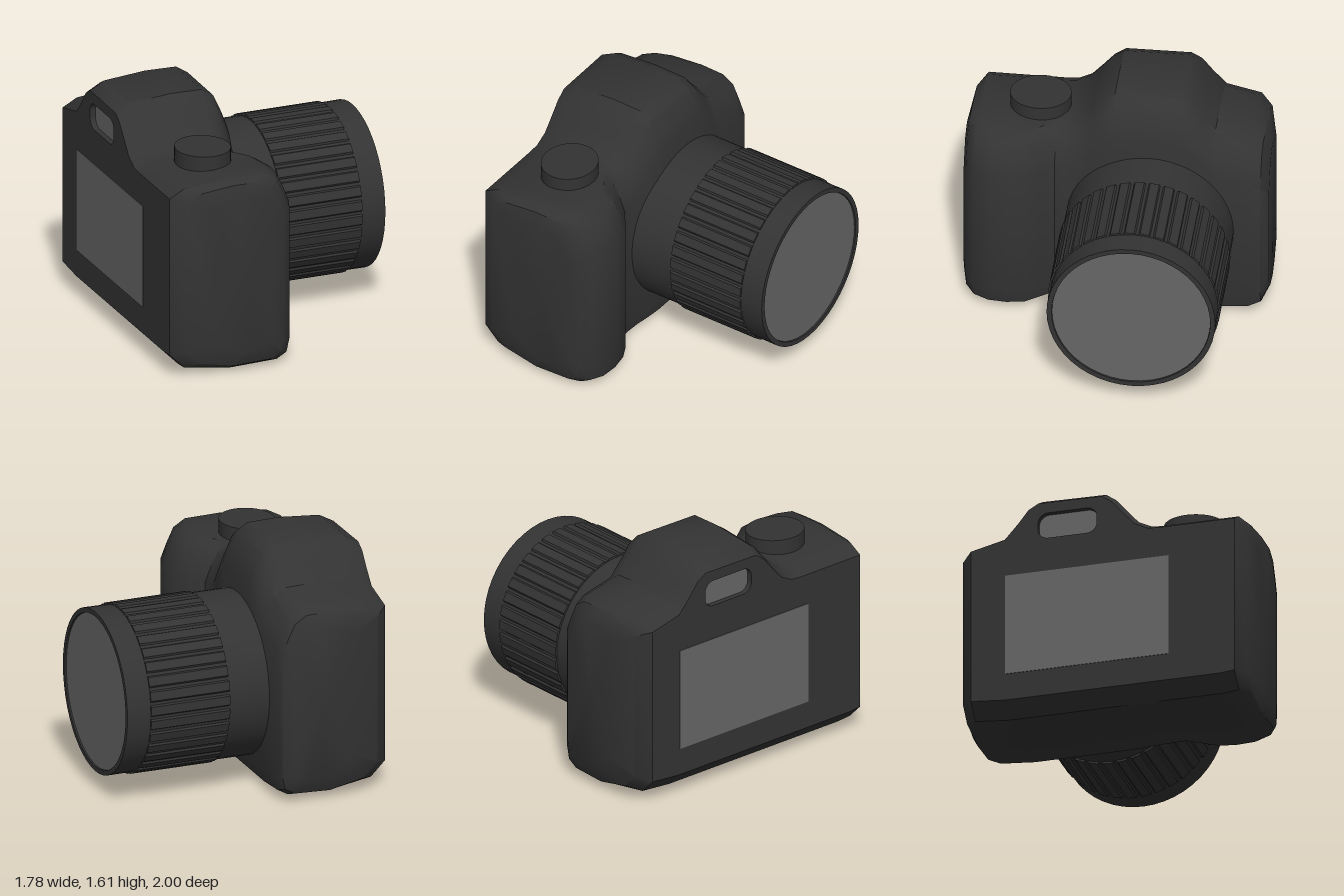
import * as THREE from 'three';
import { toCreasedNormals } from 'three/addons/utils/BufferGeometryUtils.js';

const BLACK = new THREE.MeshStandardMaterial({ color: 0x333333 });
const GLASS = new THREE.MeshStandardMaterial({ color: 0x666666 });
const BACK = -0.885;

// Body stations along z: [z, front x, top y, back x, bottom y]
const STATIONS = [
  [-1, -0.19, 1.2, -0.6, 0.14],
  [-0.95, -0.13, 1.29, -0.8, 0.05],
  [-0.87, -0.11, 1.325, BACK, 0.02],
  [-0.64, -0.11, 1.38, BACK, 0],
  [-0.55, -0.11, 1.48, BACK, 0],
  [-0.48, -0.11, 1.57, BACK, 0],
  [-0.41, -0.11, 1.61, BACK, 0],
  [0.02, -0.11, 1.605, BACK, 0],
  [0.09, -0.115, 1.555, BACK, 0],
  [0.17, -0.125, 1.46, BACK, 0],
  [0.24, -0.135, 1.38, BACK, 0],
  [0.33, -0.14, 1.335, BACK, 0],
  [0.4, -0.14, 1.33, BACK, 0],
  [0.49, -0.075, 1.33, BACK, 0],
  [0.58, -0.01, 1.33, BACK, 0],
  [0.7, 0.01, 1.33, BACK, 0],
  [0.82, 0, 1.33, BACK, 0],
  [0.92, -0.04, 1.33, BACK, 0.01],
  [0.975, -0.1, 1.3, -0.79, 0.04],
  [1, -0.18, 1.22, -0.6, 0.13],
];

// Rounded cross-section, counter-clockwise from the lower back corner
function section([, f, t, k, b]) {
  const mid = k + (f - k) * 0.5;
  return [
    [k, b + 0.15], [k + 0.1, b + 0.05], [mid, b], [f - 0.09, b + 0.01],
    [f - 0.02, b + 0.05], [f, b + 0.14], [f, t - 0.26], [f - 0.04, t - 0.16],
    [f - 0.09, t - 0.055], [f - 0.17, t - 0.005], [mid, t], [k + 0.1, t - 0.025], [k, t - 0.08],
  ];
}

// Shell lofted through the stations, left open where the flat back panel sits
function bodyGeometry() {
  const pos = [], idx = [];
  const rings = STATIONS.map(section), n = rings[0].length, last = rings.length - 1;
  rings.forEach((r, i) => r.forEach(([x, y]) => pos.push(x, y, STATIONS[i][0])));
  for (let i = 0; i < last; i++) {
    const flat = STATIONS[i][3] === BACK && STATIONS[i + 1][3] === BACK;
    for (let j = 0; j < (flat ? n - 1 : n); j++) {
      const a = i * n + j, b = i * n + (j + 1) % n;
      idx.push(a, b, b + n, a, b + n, a + n);
    }
  }
  // End caps as fans
  for (const i of [0, last]) {
    const c = pos.length / 3;
    pos.push(-0.4, 0.68, STATIONS[i][0]);
    for (let j = 0; j < n; j++) {
      const a = i * n + j, b = i * n + (j + 1) % n;
      if (i) idx.push(c, a, b); else idx.push(c, b, a);
    }
  }
  const g = new THREE.BufferGeometry();
  g.setAttribute('position', new THREE.Float32BufferAttribute(pos, 3));
  g.setIndex(idx);
  return toCreasedNormals(g, 0.6);
}

function roundedRect(cx, cy, w, h, r, path = new THREE.Shape()) {
  const x = w / 2 - r, y = h / 2 - r;
  path.absarc(cx + x, cy + y, r, 0, Math.PI / 2);
  path.absarc(cx - x, cy + y, r, Math.PI / 2, Math.PI);
  path.absarc(cx - x, cy - y, r, Math.PI, Math.PI * 1.5);
  path.absarc(cx + x, cy - y, r, Math.PI * 1.5, Math.PI * 2);
  path.closePath();
  return path;
}

export function createModel() {
  const model = new THREE.Group();
  const add = (parent, name, geometry, material = BLACK) => {
    const mesh = new THREE.Mesh(geometry, material);
    mesh.name = name;
    parent.add(mesh);
    return mesh;
  };

  add(model, 'body', bodyGeometry());

  // Rear parts are drawn flat, then turned so their front faces -x
  const rear = new THREE.Group();
  rear.name = 'rear';
  rear.rotation.y = -Math.PI / 2;
  rear.position.x = BACK;
  model.add(rear);

  const flat = STATIONS.filter((s) => s[3] === BACK);
  const panel = new THREE.Shape([
    ...flat.map((s) => new THREE.Vector2(s[0], s[4] + 0.15)),
    ...flat.map((s) => new THREE.Vector2(s[0], s[2] - 0.08)).reverse(),
  ]);
  const finder = [-0.215, 1.366, 0.4, 0.18, 0.07];
  panel.holes.push(roundedRect(...finder, new THREE.Path()));
  add(rear, 'backPanel', new THREE.ShapeGeometry(panel));

  // Recessed viewfinder
  const frame = roundedRect(-0.215, 1.366, 0.44, 0.22, 0.09);
  frame.holes.push(roundedRect(...finder, new THREE.Path()));
  add(rear, 'viewfinderFrame',
    new THREE.ExtrudeGeometry(frame, { depth: 0.05, bevelEnabled: false })).position.z = -0.052;
  add(rear, 'viewfinderGlass', new THREE.ShapeGeometry(roundedRect(...finder)), GLASS).position.z = -0.04;

  const screen = add(rear, 'screen', new THREE.BoxGeometry(1.11, 0.705, 0.01), GLASS);
  screen.position.set(-0.083, 0.688, -0.001);

  // Top dial
  const dial = add(model, 'dial', new THREE.CylinderGeometry(0.2, 0.2, 0.14, 40));
  dial.scale.x = 0.91;
  dial.position.set(-0.488, 1.35, 0.53);

  // Lens, pointing along +x
  const lens = new THREE.Group();
  lens.name = 'lens';
  lens.position.set(0, 0.677, -0.228);
  model.add(lens);

  const profile = [[0.55, -0.2], [0.55, 0.6], [0.553, 0.89], [0.52, 0.89], [0.515, 0.86]]
    .map(([r, y]) => new THREE.Vector2(r, y));
  const barrel = new THREE.LatheGeometry(profile, 48).rotateZ(-Math.PI / 2);
  add(lens, 'lensBarrel', toCreasedNormals(barrel, 0.6));

  // Ribbed grip ring
  const ribs = 36, outline = [];
  for (let i = 0; i < ribs; i++) {
    for (const [t, r] of [[0, 0.564], [0.6, 0.564], [0.7, 0.552], [0.9, 0.552]]) {
      const a = (i + t) / ribs * Math.PI * 2;
      outline.push(new THREE.Vector2(Math.cos(a) * r, Math.sin(a) * r));
    }
  }
  const ring = new THREE.ExtrudeGeometry(new THREE.Shape(outline), { depth: 0.555, bevelEnabled: false });
  add(lens, 'gripRing', ring.rotateY(Math.PI / 2)).position.x = 0.17;

  const glass = new THREE.CircleGeometry(0.519, 48).rotateY(Math.PI / 2);
  add(lens, 'lensGlass', glass, GLASS).position.x = 0.88;

  return model;
}
